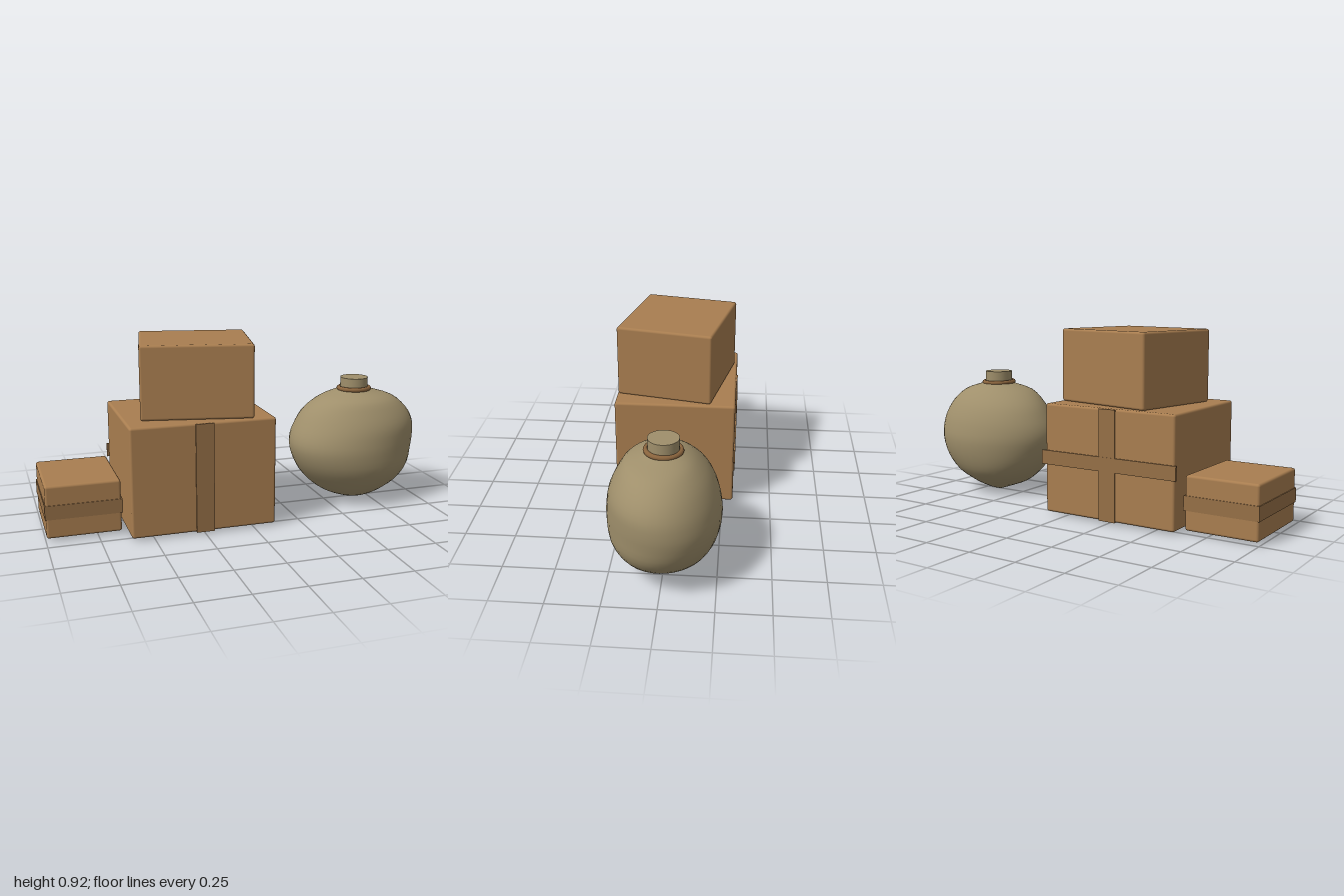
import * as THREE from 'three';
import { RoundedBoxGeometry } from 'three/addons/geometries/RoundedBoxGeometry.js';

const material = (name, color) => {
  const m = new THREE.MeshStandardMaterial({ color });
  m.name = name;
  return m;
};

// Closed lumpy surface lofted through oval rings, bottom to top
function sackGeometry() {
  // y, xMin, xMax, zMin, zMax
  const rows = [
    [0.0, 0.655, 0.665, -0.005, 0.005],
    [0.022, 0.59, 0.72, -0.07, 0.075],
    [0.06, 0.49, 0.805, -0.145, 0.155],
    [0.12, 0.41, 0.905, -0.213, 0.209],
    [0.2, 0.347, 0.967, -0.25, 0.251],
    [0.29, 0.31, 0.99, -0.266, 0.262],
    [0.36, 0.31, 0.996, -0.26, 0.257],
    [0.43, 0.34, 0.985, -0.241, 0.243],
    [0.5, 0.388, 0.943, -0.205, 0.212],
    [0.56, 0.463, 0.87, -0.15, 0.17],
    [0.592, 0.555, 0.77, -0.1, 0.095],
    [0.605, 0.6, 0.72, -0.06, 0.06],
    [0.61, 0.655, 0.665, -0.005, 0.005],
  ];
  const spline = (a, b) => new THREE.CatmullRomCurve3(
    rows.map((r) => new THREE.Vector3(r[0], r[a], r[b])), false, 'catmullrom', 0.5);
  const alongX = spline(1, 2), alongZ = spline(3, 4);
  const rings = 36, sides = 40, positions = [], index = [];
  for (let i = 0; i <= rings; i++) {
    const px = alongX.getPoint(i / rings), pz = alongZ.getPoint(i / rings);
    for (let j = 0; j < sides; j++) {
      const a = (j / sides) * Math.PI * 2;
      // soft dents on the diagonals, none on the main axes
      const r = 1 + 0.02 * Math.sin(2 * a) * Math.sin(px.x * 16);
      positions.push(
        (px.y + px.z) / 2 + ((px.z - px.y) / 2) * r * Math.cos(a),
        px.x,
        (pz.y + pz.z) / 2 + ((pz.z - pz.y) / 2) * r * Math.sin(a));
      if (i < rings) {
        const k = (j + 1) % sides, p = i * sides, q = p + sides;
        index.push(p + j, q + j, p + k, p + k, q + j, q + k);
      }
    }
  }
  const g = new THREE.BufferGeometry();
  g.setAttribute('position', new THREE.Float32BufferAttribute(positions, 3));
  g.setIndex(index);
  g.computeVertexNormals();
  return g;
}

export function createModel() {
  const model = new THREE.Group();
  model.name = 'parcelsAndSack';
  const cardboard = material('cardboard', 0xa97e50);
  const tape = material('tape', 0x967047);
  const burlap = material('burlap', 0x9f8f6b);
  const rope = material('rope', 0x8a643d);

  const add = (name, geometry, mat, x, y, z) => {
    const mesh = new THREE.Mesh(geometry, mat);
    mesh.name = name;
    mesh.position.set(x, y, z);
    model.add(mesh);
    return mesh;
  };
  const carton = (name, w, h, d, x, y, z) =>
    add(name, new RoundedBoxGeometry(w, h, d, 3, 0.012), cardboard, x, y, z);
  const strap = (name, w, h, d, x, y, z) =>
    add(name, new THREE.BoxGeometry(w, h, d), tape, x, y, z);

  // Large carton with a vertical strap and a band across the back
  carton('largeCarton', 0.72, 0.542, 0.605, -0.25, 0.284, -0.003);
  strap('largeCartonStrap', 0.09, 0.541, 0.618, -0.25, 0.282, -0.002);
  strap('largeCartonBackBand', 0.75, 0.07, 0.01, -0.245, 0.288, -0.307);

  // Turned carton on top
  carton('topCarton', 0.545, 0.36, 0.487, -0.218, 0.736, 0.002).rotation.y = -0.203;

  // Small carton with a band all round
  carton('smallCarton', 0.36, 0.26, 0.43, -0.816, 0.145, -0.035);
  strap('smallCartonBand', 0.37, 0.07, 0.437, -0.815, 0.145, -0.035);

  // Sack with a tied neck
  add('sack', sackGeometry(), burlap, 0, 0, 0);
  add('sackNeck', new THREE.CylinderGeometry(0.072, 0.072, 0.075, 32), burlap, 0.659, 0.626, 0);
  const tie = add('sackTie', new THREE.TorusGeometry(0.079, 0.012, 10, 40), rope, 0.659, 0.604, 0);
  tie.rotation.x = Math.PI / 2 - 0.03;

  return model;
}
